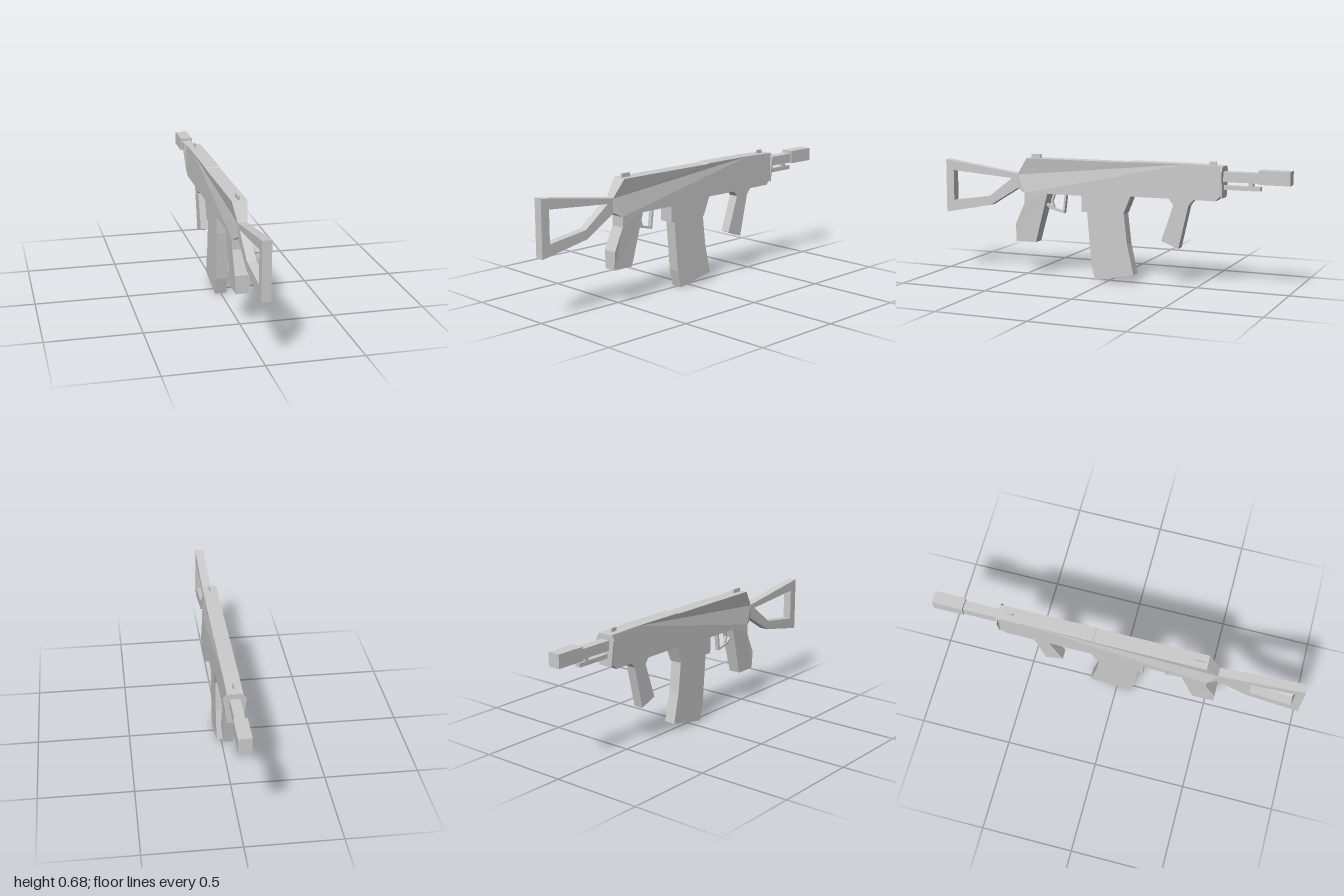
import * as THREE from 'three';

const material = new THREE.MeshStandardMaterial({ color: 0xcccccc, flatShading: true });

function addMesh(group, name, geometry) {
  geometry.computeVertexNormals();
  const mesh = new THREE.Mesh(geometry, material);
  mesh.name = name;
  group.add(mesh);
  return mesh;
}

const toPoints = (list) => list.map(([a, b]) => new THREE.Vector2(a, b));

// Side profile given as [z, y] points, extruded across x; widthAt can taper it.
function slab(group, name, profile, half, { hole, widthAt } = {}) {
  const shape = new THREE.Shape(toPoints(profile));
  if (hole) shape.holes.push(new THREE.Path(toPoints(hole)));
  const geometry = new THREE.ExtrudeGeometry(shape, { depth: half * 2, bevelEnabled: false });
  geometry.translate(0, 0, -half).rotateY(-Math.PI / 2);
  if (widthAt) {
    const p = geometry.attributes.position;
    for (let i = 0; i < p.count; i++) {
      p.setX(i, Math.sign(p.getX(i)) * widthAt(p.getY(i), p.getZ(i)));
    }
  }
  return addMesh(group, name, geometry);
}

// Box spanning two z and two y values, centred on x.
function block(group, name, half, z0, z1, y0, y1) {
  const geometry = new THREE.BoxGeometry(half * 2, y1 - y0, z1 - z0);
  geometry.translate(0, (y0 + y1) / 2, (z0 + z1) / 2);
  return addMesh(group, name, geometry);
}

export function createModel() {
  const group = new THREE.Group();
  group.name = 'rifle';

  // Receiver with magazine well and rear grip, narrowing towards the stock
  slab(group, 'receiverAndGrip', [
    [0.48, 0.655], [0.545, 0.56], [0.545, 0.487], [0.495, 0.46], [0.495, 0.405],
    [0.55, 0.285], [0.55, 0.187], [0.43, 0.187], [0.355, 0.463], [0.15, 0.463],
    [0.15, 0.375], [-0.095, 0.375], [-0.137, 0.474], [-0.61, 0.474], [-0.64, 0.505],
    [-0.64, 0.655], [-0.45, 0.66], [-0.13, 0.66], [-0.12, 0.655],
  ], 0.04, {
    widthAt: (y, z) => (y < 0.2 ? 0.034 : z > 0.54 && y > 0.45 ? 0.024 : 0.04),
  });

  // Thin plate flaring out at the end of the receiver
  const rim = new THREE.Shape(toPoints([
    [-0.04, 0.655], [-0.058, 0.627], [-0.04, 0.49], [0.04, 0.49], [0.058, 0.627], [0.04, 0.655],
  ]));
  const rimGeometry = new THREE.ExtrudeGeometry(rim, { depth: 0.008, bevelEnabled: false });
  rimGeometry.translate(0, 0, -0.646);
  addMesh(group, 'endPlate', rimGeometry);

  // Skeleton shoulder stock
  slab(group, 'stock', [
    [1, 0.627], [0.54, 0.562], [0.54, 0.487], [0.715, 0.38], [1, 0.325],
  ], 0.024, { hole: [[0.952, 0.567], [0.952, 0.395], [0.725, 0.428], [0.58, 0.538]] });

  // Curved magazine
  slab(group, 'magazine', [
    [0.12, 0.38], [0.095, 0.095], [0.072, 0], [-0.152, 0.045], [-0.115, 0.21], [-0.095, 0.38],
  ], 0.032);

  // Slanted front grip with a flared top
  slab(group, 'foreGrip', [
    [-0.345, 0.476], [-0.375, 0.44], [-0.308, 0.243], [-0.405, 0.207], [-0.458, 0.44], [-0.49, 0.476],
  ], 0.027);

  // Barrel, muzzle and the rod beneath
  block(group, 'barrel', 0.026, -0.84, -0.6, 0.575, 0.627);
  block(group, 'muzzle', 0.034, -1, -0.835, 0.57, 0.642);
  block(group, 'rod', 0.014, -0.842, -0.6, 0.533, 0.556);
  block(group, 'rodBracket', 0.012, -0.802, -0.778, 0.55, 0.58);

  // Sights
  block(group, 'rearSight', 0.005, 0.41, 0.465, 0.65, 0.676);
  block(group, 'frontSight', 0.005, -0.6, -0.565, 0.65, 0.676);

  // Trigger guard loop and trigger
  slab(group, 'triggerGuard', [
    [0.37, 0.47], [0.382, 0.4], [0.35, 0.376], [0.265, 0.355], [0.25, 0.47],
    [0.262, 0.47], [0.274, 0.368], [0.345, 0.387], [0.37, 0.407], [0.36, 0.47],
  ], 0.012);
  slab(group, 'trigger', [
    [0.332, 0.47], [0.349, 0.42], [0.335, 0.378], [0.326, 0.384], [0.338, 0.42], [0.318, 0.47],
  ], 0.007);

  return group;
}
